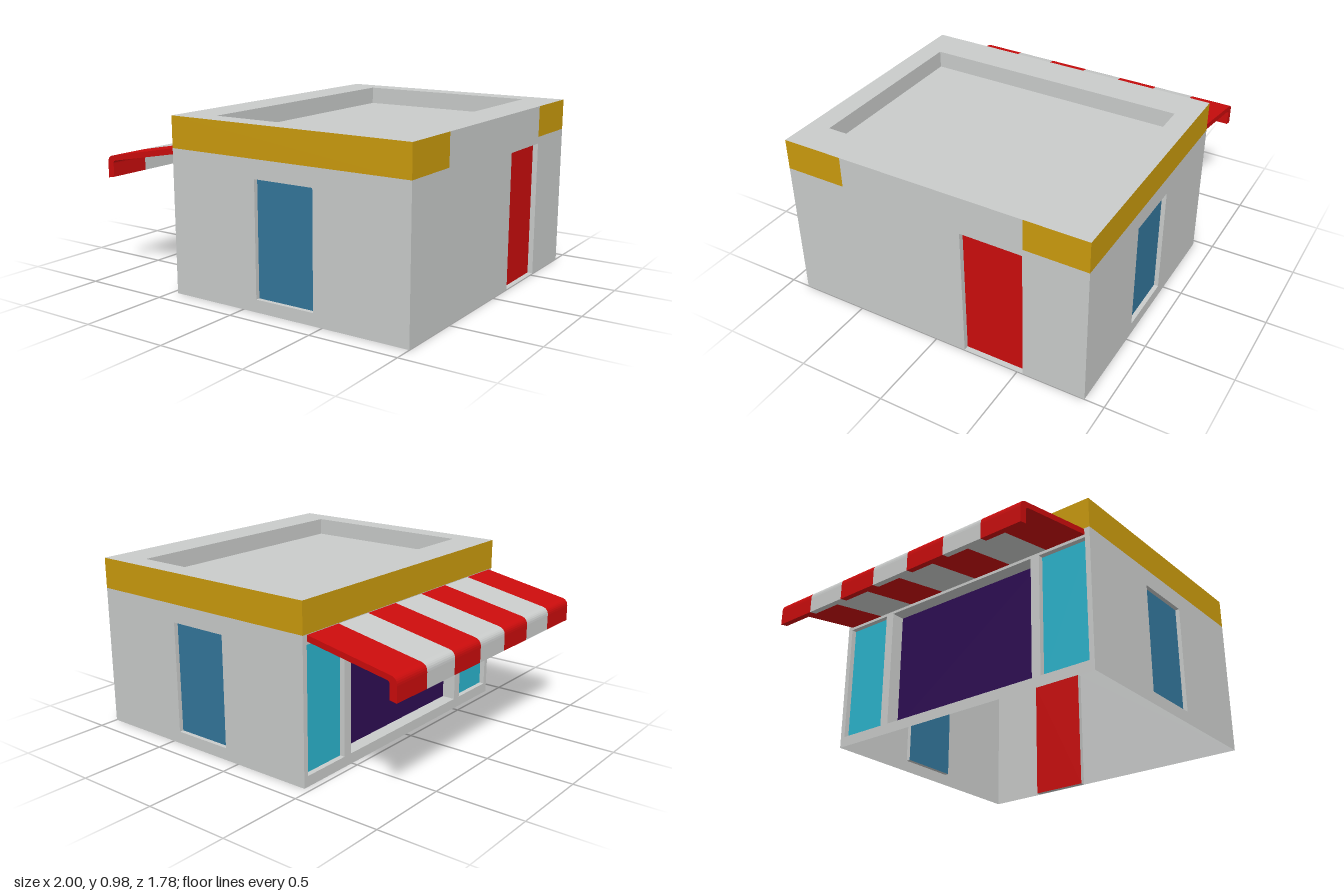
import * as THREE from 'three';
import { mergeGeometries } from 'three/addons/utils/BufferGeometryUtils.js';

const CX = 0.267, HALF_X = 0.732, HALF_Z = 0.89; // building footprint
const HEIGHT = 0.983, BAND_Y = 0.808;            // roof line and bottom of the painted band

function material(name, color, doubleSided = true) {
  const m = new THREE.MeshStandardMaterial({ color });
  m.name = name;
  if (doubleSided) m.side = THREE.DoubleSide;
  return m;
}

function rect(Type, [u0, u1, v0, v1]) {
  const s = new Type();
  s.moveTo(u0, v0);
  s.lineTo(u1, v0);
  s.lineTo(u1, v1);
  s.lineTo(u0, v1);
  s.closePath();
  return s;
}

function add(parent, name, geometry, mat) {
  const mesh = new THREE.Mesh(geometry, mat);
  mesh.name = name;
  parent.add(mesh);
  return mesh;
}

// Four inward-facing strips lining an opening of the given depth
function reveal([u0, u1, v0, v1], d) {
  const strips = [];
  for (const v of [v0, v1]) {
    strips.push(new THREE.PlaneGeometry(u1 - u0, d).rotateX(Math.PI / 2).translate((u0 + u1) / 2, v, -d / 2));
  }
  for (const u of [u0, u1]) {
    strips.push(new THREE.PlaneGeometry(d, v1 - v0).rotateY(Math.PI / 2).translate(u, (v0 + v1) / 2, -d / 2));
  }
  return mergeGeometries(strips);
}

// A flat panel facing local +z with recessed openings: { name, box, depth, mat }
function panel(parent, name, outline, openings, mat) {
  const group = new THREE.Group();
  group.name = name;
  parent.add(group);
  const shape = rect(THREE.Shape, outline);
  for (const o of openings) shape.holes.push(rect(THREE.Path, o.box));
  add(group, name + 'Surface', new THREE.ShapeGeometry(shape), mat);
  for (const o of openings) {
    const [u0, u1, v0, v1] = o.box;
    add(group, o.name + 'Reveal', reveal(o.box, o.depth), mat);
    add(group, o.name, new THREE.PlaneGeometry(u1 - u0, v1 - v0)
      .translate((u0 + u1) / 2, (v0 + v1) / 2, -o.depth), o.mat);
  }
  return group;
}

export function createModel() {
  const model = new THREE.Group();
  model.name = 'shop';
  const plaster = material('plasterGrey', 0xcacccb);
  const yellow = material('bandYellow', 0xcb9b0d);
  const red = material('red', 0xcb0c0c);
  const blue = material('windowBlue', 0x33769b);
  const cyan = material('shopGlassCyan', 0x2bb4cd);
  const purple = material('displayPurple', 0x2e0d54);

  const band = (wall, u0, u1) =>
    add(wall, 'paintedBand', new THREE.ShapeGeometry(rect(THREE.Shape, [u0, u1, BAND_Y, HEIGHT])), yellow);

  // Front and back walls, each with one window and a full band
  for (const [name, side] of [['frontWall', 1], ['backWall', -1]]) {
    const wall = panel(model, name, [-HALF_X, HALF_X, 0, BAND_Y],
      [{ name: 'window', box: [-0.18, 0.18, 0.07, 0.705], depth: 0.025, mat: blue }], plaster);
    wall.position.set(CX, 0, side * HALF_Z);
    if (side < 0) wall.rotation.y = Math.PI;
    band(wall, -HALF_X, HALF_X);
  }

  // Door wall, with the band only at its two ends
  const doorWall = panel(model, 'doorWall', [-HALF_Z, HALF_Z, 0, BAND_Y],
    [{ name: 'door', box: [0.178, 0.533, 0.002, 0.77], depth: 0.03, mat: red }], plaster);
  doorWall.position.x = CX + HALF_X;
  doorWall.rotation.y = Math.PI / 2;
  band(doorWall, -HALF_Z, -0.535);
  band(doorWall, 0.535, HALF_Z);
  add(doorWall, 'upperWall', new THREE.ShapeGeometry(rect(THREE.Shape, [-0.535, 0.535, BAND_Y, HEIGHT])), plaster);

  // Shop front: deep display window between two narrow panes
  const shopFront = panel(model, 'shopFront', [-HALF_Z, HALF_Z, 0, BAND_Y], [
    { name: 'sidePane', box: [-0.86, -0.565, 0.06, 0.755], depth: 0.03, mat: cyan },
    { name: 'displayWindow', box: [-0.51, 0.51, 0.06, 0.755], depth: 0.08, mat: purple },
    { name: 'sidePane', box: [0.565, 0.86, 0.06, 0.755], depth: 0.03, mat: cyan },
  ], plaster);
  shopFront.position.x = CX - HALF_X;
  shopFront.rotation.y = -Math.PI / 2;
  band(shopFront, -HALF_Z, HALF_Z);

  // Roof: flat rim around a sunken deck
  const roof = panel(model, 'roof', [-HALF_X, HALF_X, -HALF_Z, HALF_Z],
    [{ name: 'roofDeck', box: [-0.525, 0.525, -0.767, 0.767], depth: 0.1, mat: plaster }], plaster);
  roof.position.set(CX, HEIGHT, 0);
  roof.rotation.x = -Math.PI / 2;

  // Awning: one bent profile extruded as seven alternating stripes
  const profile = new THREE.Shape();
  profile.moveTo(-0.463, 0.805);
  profile.lineTo(-0.963, 0.71);
  profile.quadraticCurveTo(-1, 0.703, -1, 0.665);
  profile.lineTo(-1, 0.58);
  profile.lineTo(-0.958, 0.588);
  profile.lineTo(-0.958, 0.665);
  profile.quadraticCurveTo(-0.958, 0.68, -0.942, 0.683);
  profile.lineTo(-0.463, 0.772);
  profile.closePath();
  const stripeWidth = 0.245;
  const awning = new THREE.Group();
  awning.name = 'awning';
  model.add(awning);
  const stripe = new THREE.ExtrudeGeometry(profile, { depth: stripeWidth, bevelEnabled: false, curveSegments: 6 });
  for (let i = 0; i < 7; i++) {
    add(awning, 'awningStripe', stripe, i % 2 ? plaster : red).position.z = (i - 3.5) * stripeWidth;
  }
  return model;
}
